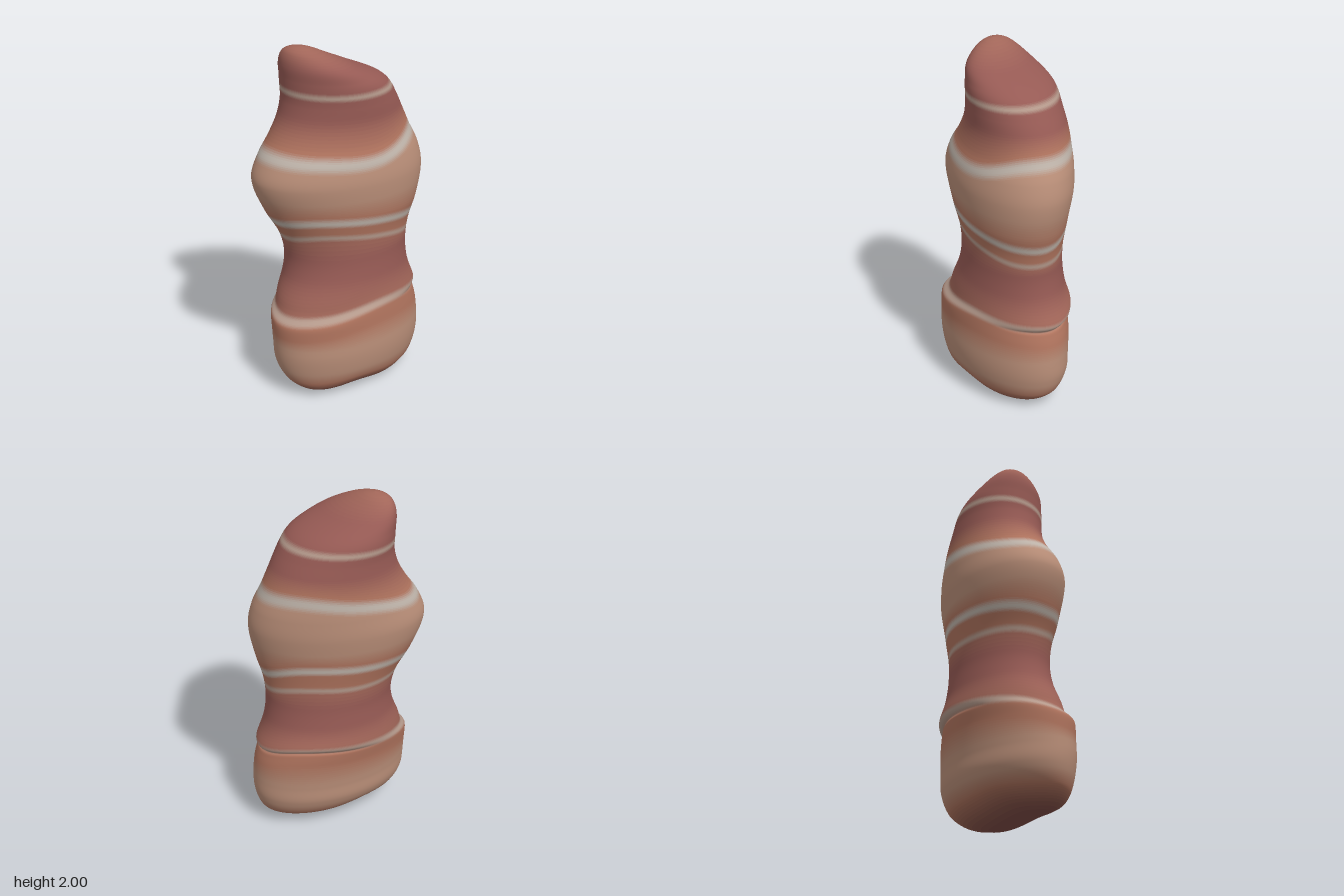
import * as THREE from 'three';

// Cross-sections of the pillar: height, right x, left x, front z, back z
const SECTIONS = [
  [-0.15, 0.0, 0.0, 0.13, 0.13],
  [0.0, -0.24, 0.22, 0.215, 0.06],
  [0.02, -0.32, 0.31, 0.25, -0.03],
  [0.05, -0.37, 0.375, 0.28, -0.1],
  [0.1, -0.41, 0.43, 0.31, -0.17],
  [0.2, -0.445, 0.466, 0.336, -0.225],
  [0.3, -0.455, 0.47, 0.344, -0.235],
  [0.45, -0.445, 0.46, 0.335, -0.252],
  [0.56, -0.4, 0.44, 0.32, -0.27],
  [0.7, -0.335, 0.4, 0.295, -0.257],
  [0.82, -0.315, 0.385, 0.284, -0.25],
  [0.95, -0.34, 0.395, 0.288, -0.262],
  [1.1, -0.415, 0.43, 0.318, -0.305],
  [1.28, -0.475, 0.462, 0.333, -0.34],
  [1.4, -0.435, 0.447, 0.315, -0.332],
  [1.5, -0.365, 0.41, 0.28, -0.315],
  [1.6, -0.31, 0.37, 0.257, -0.3],
  [1.7, -0.283, 0.318, 0.25, -0.292],
  [1.78, -0.28, 0.266, 0.242, -0.294],
  [1.83, -0.28, 0.2, 0.222, -0.286],
  [1.9, -0.28, 0.05, 0.165, -0.26],
  [1.96, -0.264, -0.075, 0.06, -0.215],
  [1.99, -0.235, -0.14, -0.03, -0.16],
  [2.0, -0.19, -0.19, -0.09, -0.09],
];

// Wavy heights of the pale veins, sampled every 45 degrees from +x towards +z
const LEDGE = [0.525, 0.535, 0.55, 0.505, 0.49, 0.53, 0.56, 0.57];
const VEIN_LOW = [0.91, 0.91, 0.955, 0.985, 0.95, 0.95, 0.95, 0.96];
const VEIN_MID = [1.01, 1.015, 1.055, 1.08, 1.05, 1.06, 1.08, 1.09];
const VEIN_HIGH = [1.5, 1.485, 1.41, 1.42, 1.43, 1.42, 1.47, 1.51];
const flat = (h) => Array(8).fill(h);

const TAN = 0xb98e78, ORANGE = 0xb0745e, RUST = 0xa4685a, RED = 0x965a54, DARK = 0x7c4a44;
const PALE = 0xbfb4aa, DULL = 0xb59a8c;

// Colour stops from bottom to top: level, offset, colour
const STOPS = [
  [flat(-0.15), 0, DARK], [flat(0), 0, DARK], [flat(0.09), 0, ORANGE],
  [flat(0.17), 0, TAN], [flat(0.33), 0, TAN],
  [LEDGE, -0.1, ORANGE], [LEDGE, -0.025, ORANGE], [LEDGE, -0.004, DULL],
  [LEDGE, 0.012, DULL], [LEDGE, 0.035, RUST],
  [flat(0.72), 0, RED], [flat(0.84), 0, RED],
  [VEIN_LOW, -0.025, RUST], [VEIN_LOW, -0.004, DULL], [VEIN_LOW, 0.004, DULL], [VEIN_LOW, 0.025, ORANGE],
  [VEIN_MID, -0.03, ORANGE], [VEIN_MID, -0.006, PALE], [VEIN_MID, 0.006, PALE], [VEIN_MID, 0.038, ORANGE],
  [flat(1.2), 0, TAN], [flat(1.32), 0, TAN],
  [VEIN_HIGH, -0.045, TAN], [VEIN_HIGH, -0.01, PALE], [VEIN_HIGH, 0.012, PALE], [VEIN_HIGH, 0.05, ORANGE],
  [flat(1.64), 0, RED], [flat(1.742), 0, RED],
  [flat(1.762), 0, DULL], [flat(1.768), 0, DULL], [flat(1.79), 0, RED], [flat(1.9), 0, RED], [flat(2), 0, RUST],
];

// Smooth periodic height of a vein at angle t
function level(samples, t) {
  const f = ((t / (Math.PI / 4)) % 8 + 8) % 8;
  const i = Math.floor(f), k = f - i;
  const [a, b, c, d] = [-1, 0, 1, 2].map((o) => samples[(i + o + 8) % 8]);
  return b + 0.5 * k * (c - a + k * (2 * a - 5 * b + 4 * c - d + k * (3 * (b - c) + d - a)));
}

// Smooth interpolation of the cross-sections at height u
function sectionAt(u) {
  let i = 0;
  while (i < SECTIONS.length - 2 && u > SECTIONS[i + 1][0]) i++;
  const p = SECTIONS[i], q = SECTIONS[i + 1];
  const o = SECTIONS[Math.max(i - 1, 0)], r = SECTIONS[Math.min(i + 2, SECTIONS.length - 1)];
  const h = q[0] - p[0], k = (u - p[0]) / h;
  return [1, 2, 3, 4].map((c) => {
    const m0 = (h * (q[c] - o[c])) / (q[0] - o[0]);
    const m1 = (h * (r[c] - p[c])) / (r[0] - p[0]);
    return p[c] + k * (m0 + k * (3 * (q[c] - p[c]) - 2 * m0 - m1 + k * (2 * (p[c] - q[c]) + m0 + m1)));
  });
}

// Point on the pillar surface
function surface(t, u) {
  const [x0, x1, z1, z0] = sectionAt(u);
  const s = t + 0.17 + 0.16 * Math.exp(-(((u - 1.2) / 0.35) ** 2));
  let x = (x0 + x1) / 2 + ((x1 - x0) / 2) * Math.cos(t);
  let z = (z0 + z1) / 2 + ((z1 - z0) / 2) * Math.sin(s);
  // Shelf on one side of the ledge, overhang with a groove on the other
  const d = u - level(LEDGE, t);
  const side = Math.cos(t - Math.PI * 0.88);
  const push = -0.016 * side * Math.tanh(d / 0.016) * Math.exp(-((d / 0.08) ** 2))
    - 0.012 * Math.max(0, -side) * Math.exp(-(((d + 0.016) / 0.009) ** 2));
  x += push * Math.cos(t);
  z += push * Math.sin(t);
  // Underside arched across its width
  const fade = 1 - THREE.MathUtils.smoothstep(u, 0, 0.2);
  const arch = 0.03 * Math.exp(-(((x + 0.08) / 0.15) ** 2)) + 0.015 * THREE.MathUtils.smoothstep(-x, 0, 0.3);
  return new THREE.Vector3(x, Math.max(u, 0) + fade * arch, z);
}

function normalAt(t, u) {
  const v = THREE.MathUtils.clamp(u, -0.146, 1.998), e = 0.0015;
  const du = surface(t, v + e).sub(surface(t, v - e));
  const dt = surface(t + 0.01, v).sub(surface(t - 0.01, v));
  return du.cross(dt).normalize();
}

// Strip of the surface between two wavy heights
function stripGeometry(low, high, rows, cols = 88) {
  const pos = [], nor = [], idx = [];
  for (let r = 0; r <= rows; r++) {
    for (let c = 0; c <= cols; c++) {
      const t = ((c % cols) / cols) * Math.PI * 2;
      const u = THREE.MathUtils.lerp(low(t), high(t), r / rows);
      pos.push(...surface(t, u).toArray());
      nor.push(...normalAt(t, u).toArray());
      if (r < rows && c < cols) {
        const a = r * (cols + 1) + c, b = a + cols + 1;
        idx.push(a, b, a + 1, b, b + 1, a + 1);
      }
    }
  }
  const g = new THREE.BufferGeometry();
  g.setAttribute('position', new THREE.Float32BufferAttribute(pos, 3));
  g.setAttribute('normal', new THREE.Float32BufferAttribute(nor, 3));
  g.setIndex(idx);
  return g;
}

export function createModel() {
  const group = new THREE.Group();
  group.name = 'rockPillar';
  for (let i = 0; i < STOPS.length - 1; i++) {
    const [la, oa, ca] = STOPS[i], [lb, ob, cb] = STOPS[i + 1];
    const gap = lb[0] + ob - la[0] - oa;
    // Blend between two stops with a few thin strips
    const steps = ca === cb ? 1 : gap < 0.05 ? 4 : 9;
    const heightAt = (k) => (t) => THREE.MathUtils.lerp(level(la, t) + oa, level(lb, t) + ob, k);
    for (let j = 0; j < steps; j++) {
      const color = new THREE.Color(ca).lerp(new THREE.Color(cb), (j + 0.5) / steps);
      const rows = Math.max(1, Math.ceil(gap / steps / 0.009));
      const mesh = new THREE.Mesh(
        stripGeometry(heightAt(j / steps), heightAt((j + 1) / steps), rows),
        new THREE.MeshStandardMaterial({ color }),
      );
      mesh.name = ca === cb && (ca === PALE || ca === DULL) ? 'paleVein' : 'rockLayer';
      group.add(mesh);
    }
  }
  return group;
}
